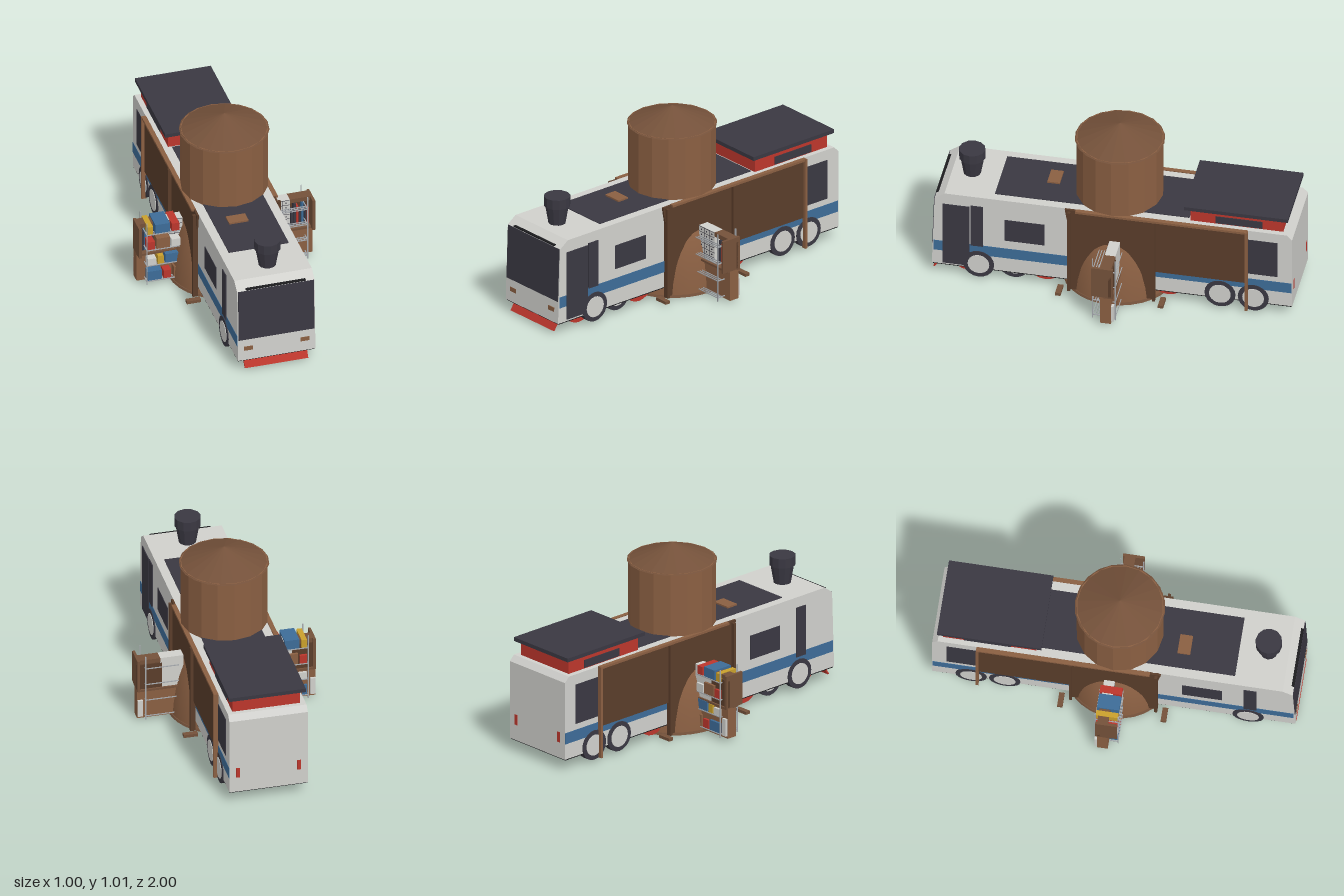
import * as THREE from 'three';

const mat = (name, color) => Object.assign(new THREE.MeshStandardMaterial({ color }), { name });

export function createModel() {
  const white = mat('offWhite', 0xd0d0cc);
  const dark = mat('charcoal', 0x3a3842);
  const brown = mat('wood', 0x8a5f42);
  const darkWood = mat('darkWood', 0x5a3d2a);
  const roofWood = mat('roofWood', 0x74513a);
  const red = mat('red', 0xbc362c);
  const blue = mat('blue', 0x3d6c98);
  const yellow = mat('yellow', 0xc9a02c);
  const steel = mat('steel', 0xa4a8ac);
  const black = mat('black', 0x1c1c1f);

  const root = new THREE.Group();
  root.name = 'houseBus';

  const add = (name, geo, material, parent = root) => {
    const m = new THREE.Mesh(geo, material);
    m.name = name;
    parent.add(m);
    return m;
  };
  // Box given by its limits on each axis
  const box = (name, material, [x0, x1], [y0, y1], [z0, z1], parent = root) => {
    const g = new THREE.BoxGeometry(Math.abs(x1 - x0), y1 - y0, Math.abs(z1 - z0));
    g.translate((x0 + x1) / 2, (y0 + y1) / 2, (z0 + z1) / 2);
    return add(name, g, material, parent);
  };
  // Profile drawn in (z, y) and extruded across x
  const sideExtrude = (points, x0, x1) => {
    const shape = new THREE.Shape(points.map(p => new THREE.Vector2(...p)));
    const g = new THREE.ExtrudeGeometry(shape, { depth: x1 - x0, bevelEnabled: false });
    return g.rotateY(-Math.PI / 2).translate(x1, 0, 0);
  };
  const flat = g => {
    const n = g.toNonIndexed();
    n.computeVertexNormals();
    return n;
  };

  // Bus body with slanted nose and chamfered roof ends
  add('busBody', sideExtrude([[1, 0.07], [0.985, 0.51], [0.93, 0.55], [-0.97, 0.55], [-1, 0.52], [-1, 0.07]], -0.22, 0.22), white);
  box('underside', black, [-0.218, 0.218], [0.064, 0.071], [-0.995, 0.995]);
  box('roofPanel', dark, [-0.17, 0.17], [0.549, 0.554], [-0.42, 0.66]);
  box('roofHatch', brown, [-0.09, 0.02], [0.55, 0.563], [0.33, 0.4]);

  // Nose details
  const windshield = add('windshield', new THREE.BoxGeometry(0.43, 0.31, 0.008), dark);
  windshield.position.set(0, 0.355, 0.99);
  windshield.rotation.x = -0.034;
  box('wiperBar', black, [-0.17, 0.17], [0.513, 0.52], [0.965, 0.987]);
  for (const s of [-1, 1]) {
    box('headlight', brown, [s * 0.135, s * 0.185], [0.13, 0.155], [0.99, 1]);
    box('tailLight', red, [s * 0.16, s * 0.182], [0.16, 0.22], [-1.002, -0.995]);
  }
  add('frontPlough', sideExtrude([[0.965, 0.07], [1, 0.015], [0.992, 0.012], [0.955, 0.07]], -0.18, 0.18), red);

  // Chimney
  const stack = [[0, 0.55], [0.048, 0.55], [0.066, 0.655], [0.073, 0.655], [0.073, 0.71], [0, 0.71]];
  const chimney = add('chimney', flat(new THREE.LatheGeometry(stack.map(p => new THREE.Vector2(...p)), 12)), dark);
  chimney.position.z = 0.82;

  // Raised rear cabin
  box('rearCabin', red, [-0.19, 0.19], [0.545, 0.635], [-0.945, -0.43]);
  box('rearCabinRoof', dark, [-0.215, 0.215], [0.633, 0.655], [-0.975, -0.4]);
  for (const s of [-1, 1]) box('cabinWindow', dark, [s * 0.188, s * 0.194], [0.555, 0.6], [-0.83, -0.57]);

  // Wheel with hubcap, axle along x
  const wheel = (name, x, y, z, r, tyre, hub) => {
    const g = new THREE.Group();
    g.name = name;
    add('tyre', new THREE.CylinderGeometry(r, r, 0.04, 20).rotateZ(Math.PI / 2), tyre, g);
    add('hub', new THREE.CylinderGeometry(r * 0.7, r * 0.7, 0.046, 20).rotateZ(Math.PI / 2), hub, g);
    g.position.set(x, y, z);
    root.add(g);
  };

  for (const s of [-1, 1]) {
    // Windows and stripe
    const plate = (name, m, y, z, t = 0.223) => box(name, m, [s * 0.216, s * t], y, z);
    if (s > 0) plate('door', dark, [0.08, 0.48], [0.79, 0.94], 0.225);
    plate('narrowWindow', dark, [s > 0 ? 0.22 : 0.2, 0.49], [0.715, 0.785], 0.225);
    plate('sideWindow', dark, [0.28, 0.42], [0.375, 0.595]);
    plate('rearWindow', dark, [0.26, 0.49], [-0.92, -0.74]);
    plate('stripe', blue, [0.16, 0.225], [-0.998, 0.99], 0.222);

    // Wheels
    for (const z of [0.74, -0.6, -0.785]) wheel('roadWheel', s * 0.205, 0.1, z, 0.086, dark, white);
    wheel('innerWheel', s * 0.17, 0.1, 0.55, 0.086, dark, white);
    for (const z of [0.81, 0.38, -0.3]) wheel('driveWheel', s * 0.15, 0.11, z, 0.1, red, red);

    // Folded side panel, posts and feet
    const skin = [[0.26, 0.55], [0.238, 0.42], [0.238, 0.012], [-0.235, 0.012], [-0.235, 0.2], [-0.75, 0.2], [-0.75, 0.55]];
    add('sidePanel', sideExtrude(skin, s > 0 ? 0.218 : -0.232, s > 0 ? 0.232 : -0.218), darkWood);
    box('panelTopRail', brown, [s * 0.22, s * 0.245], [0.54, 0.553], [-0.75, 0.2]);
    box('rearPost', brown, [s * 0.22, s * 0.247], [0.02, 0.552], [-0.756, -0.742]);
    for (const z of [0.235, -0.235]) {
      box('framePost', darkWood, [s * 0.22, s * 0.25], [0.01, 0.54], [z - 0.008, z + 0.008]);
      box('foot', roofWood, [s * 0.22, s * 0.3], [0.008, 0.025], [Math.sign(z) * 0.27, Math.sign(z) * 0.3]);
    }
  }

  // Beam under the chassis
  box('chassisBeam', roofWood, [-0.025, 0.025], [0.02, 0.05], [-0.85, 0.85]);

  // Tower: base disc, flared trunk, tank and roof
  add('baseDisc', new THREE.CylinderGeometry(0.31, 0.315, 0.012, 32).translate(0, 0.006, 0), roofWood);
  const trunk = [[0.305, 0.01], [0.3, 0.08], [0.287, 0.17], [0.268, 0.25], [0.245, 0.32], [0.222, 0.37], [0.2, 0.4]];
  add('flaredTrunk', new THREE.LatheGeometry(trunk.map(p => new THREE.Vector2(...p)), 32), brown).material.side = THREE.DoubleSide;
  add('tank', flat(new THREE.CylinderGeometry(0.24, 0.24, 0.37, 16).translate(0, 0.73, 0)), brown);
  add('tankRoof', flat(new THREE.ConeGeometry(0.247, 0.1, 20).translate(0, 0.96, 0)), roofWood);

  // Storage wings on both sides
  for (const s of [-1, 1]) {
    const wing = new THREE.Group();
    wing.name = s > 0 ? 'leftStorage' : 'rightStorage';
    root.add(wing);
    const part = (name, m, [a, b], y, z) => box(name, m, [s * a, s * b], y, z, wing);

    part('lowerCabinet', brown, [0.24, 0.5], [0.015, 0.19], [-0.05, 0.01]);
    part('lowerBin', white, [0.47, 0.498], [0.03, 0.13], [-0.064, -0.05]);
    part('worktop', roofWood, [0.24, 0.5], [0.185, 0.197], [-0.06, 0.03]);
    part('upperBack', darkWood, [0.36, 0.5], [0.195, 0.35], [-0.05, -0.035]);
    part('upperShelf', roofWood, [0.37, 0.5], [0.355, 0.38], [-0.05, 0.01]);
    part('endBoard', roofWood, [0.485, 0.5], [0.19, 0.38], [-0.06, 0.06]);
    const books = [[red, 0.47], [dark, 0.455], [blue, 0.44], [dark, 0.425], [red, 0.41], [dark, 0.395], [dark, 0.38]];
    books.forEach(([m, x], i) => part('book', m, [x, x + 0.012], [0.2, 0.3 + 0.02 * (i % 3)], [-0.034, 0]));

    // Drawer block
    part('drawerBlock', white, [0.24, 0.37], [0.197, 0.38], [-0.05, 0.01]);
    for (let c = 0; c < 3; c++) {
      for (let r = 0; r < 6; r++) {
        const x = 0.262 + c * 0.043, y = 0.212 + r * 0.03;
        part('drawerKnob', dark, [x - 0.003, x + 0.003], [y - 0.003, y + 0.003], [0.01, 0.014]);
        if (c === 0) part('drawerGap', dark, [0.242, 0.368], [y + 0.013, y + 0.0155], [0.009, 0.011]);
      }
      if (c) part('drawerSeam', dark, [0.239 + c * 0.043, 0.2415 + c * 0.043], [0.197, 0.38], [0.009, 0.011]);
    }

    // Wire rack
    for (const z of [-0.066, 0.06]) part('rackPole', steel, [0.453, 0.459], [0.012, 0.41], [z - 0.003, z + 0.003]);
    for (const y of [0.03, 0.13, 0.23, 0.33]) {
      for (const z of [-0.066, 0.03, 0.045, 0.06]) part('rackRail', steel, [0.27, 0.456], [y, y + 0.005], [z - 0.002, z + 0.002]);
      part('rackEnd', steel, [0.453, 0.458], [y, y + 0.005], [-0.066, 0.06]);
    }
  }

  // Crates and boxes on the right-hand rack: material, x limits, base, height
  const crates = [
    [yellow, 0.42, 0.45, 0.335, 0.048], [blue, 0.325, 0.407, 0.335, 0.056], [red, 0.272, 0.314, 0.335, 0.048],
    [red, 0.41, 0.45, 0.235, 0.05], [brown, 0.325, 0.4, 0.235, 0.065], [white, 0.265, 0.315, 0.235, 0.045],
    [white, 0.402, 0.45, 0.135, 0.04], [yellow, 0.36, 0.392, 0.135, 0.05], [blue, 0.272, 0.35, 0.135, 0.055],
    [blue, 0.37, 0.45, 0.035, 0.058], [red, 0.318, 0.36, 0.035, 0.05], [brown, 0.275, 0.303, 0.035, 0.065],
  ];
  for (const [m, a, b, y, h] of crates) box('crate', m, [-b, -a], [y, y + h], [-0.064, 0.058]);

  return root;
}
